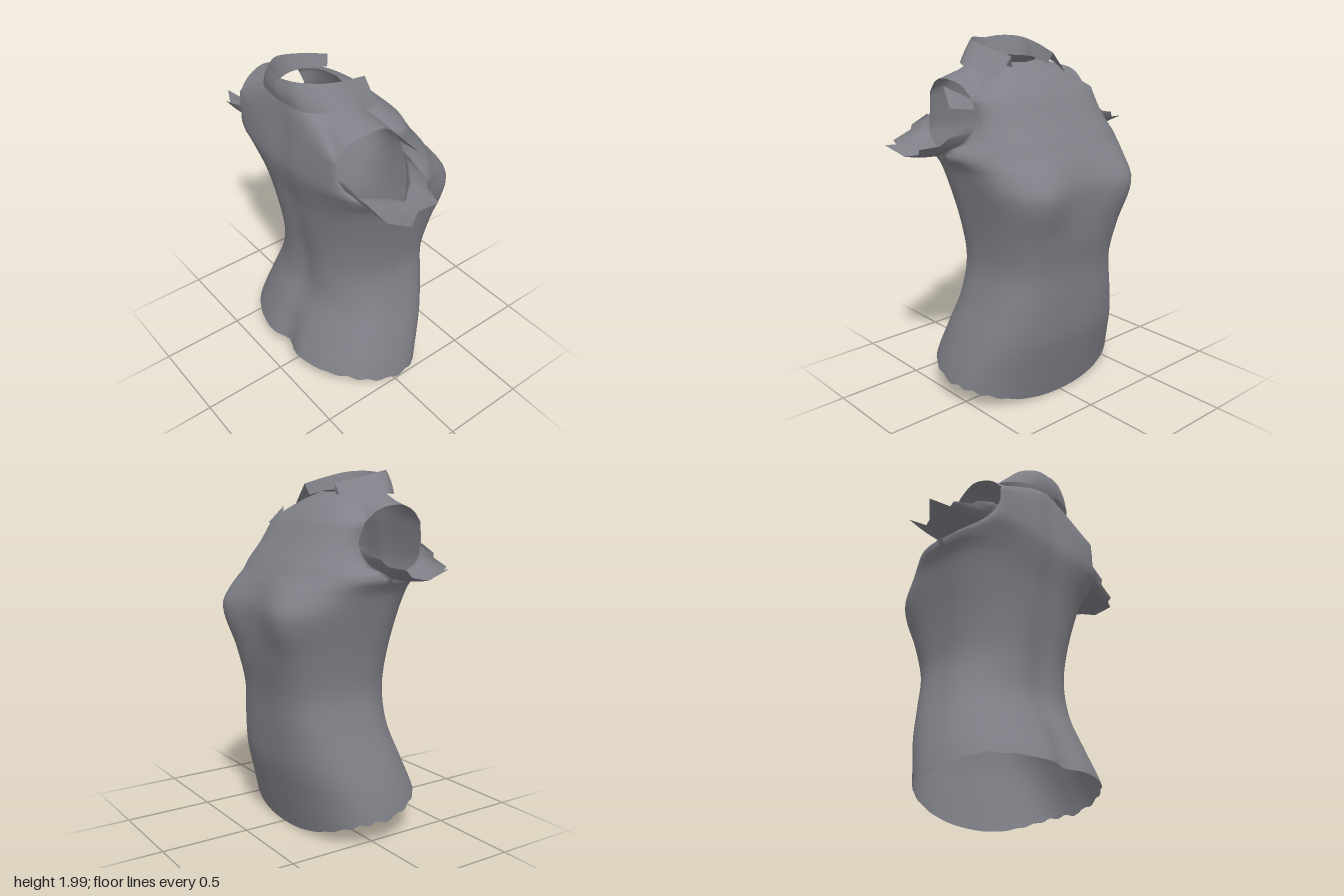
import * as THREE from 'three';
import { mergeGeometries, mergeVertices } from 'three/addons/utils/BufferGeometryUtils.js';

// Cross-sections: y, half width, chest z, chest edge z, back edge z, back z, chest roundness, back roundness
const SECTIONS = [
  [0.00, 0.59, -0.245, 0.05, 0.05, 0.50, 0.9, 0.85],
  [0.20, 0.56, -0.30, 0.04, 0.04, 0.47, 0.85, 0.86],
  [0.40, 0.505, -0.35, 0.02, 0.02, 0.39, 0.75, 0.88],
  [0.60, 0.44, -0.37, 0.00, 0.00, 0.315, 0.66, 0.9],
  [0.80, 0.40, -0.385, -0.02, -0.02, 0.305, 0.65, 0.9],
  [1.00, 0.42, -0.425, -0.01, -0.01, 0.32, 0.6, 0.88],
  [1.25, 0.475, -0.475, 0.03, 0.03, 0.36, 0.54, 0.85],
  [1.38, 0.515, -0.42, 0.05, 0.05, 0.395, 0.72, 0.82],
  [1.44, 0.56, -0.375, 0.06, 0.06, 0.41, 0.9, 0.8],
  [1.50, 0.48, -0.33, -0.02, 0.28, 0.42, 0.8, 0.8],
  [1.60, 0.42, -0.25, -0.045, 0.36, 0.415, 0.8, 0.8],
  [1.72, 0.41, -0.165, 0.00, 0.37, 0.40, 0.8, 0.8],
];
const ARMPIT = 1.44, CHEST_TOP = 1.72, HALF = Math.PI / 2;
const LIP_TOP = lerp(ARMPIT, CHEST_TOP, 0.6);
const V = (p) => new THREE.Vector3(...p);
const curve = (pts) => new THREE.CatmullRomCurve3(pts.map(V), false, 'centripetal');
const bell = (x, width) => Math.exp(-((x / width) ** 2));

function lerp(a, b, t) {
  return a + (b - a) * t;
}

// Smooth interpolation of the section table
function section(y) {
  let i = 0;
  while (i < SECTIONS.length - 2 && y > SECTIONS[i + 1][0]) i++;
  const a = SECTIONS[i], b = SECTIONS[i + 1];
  const p = SECTIONS[i - 1] || a, n = SECTIONS[i + 2] || b;
  const h = b[0] - a[0], t = (y - a[0]) / h, t2 = t * t, t3 = t2 * t;
  return a.map((v, k) => {
    const m0 = (b[k] - p[k]) / (b[0] - p[0]) * h, m1 = (n[k] - v) / (n[0] - a[0]) * h;
    return (2 * t3 - 3 * t2 + 1) * v + (t3 - 2 * t2 + t) * m0 + (3 * t2 - 2 * t3) * b[k] + (t3 - t2) * m1;
  });
}

// Body surface; phi runs from the +z centre (0) past the side to the -z centre (PI)
function bodyPoint(phi, y, chest = phi > HALF) {
  const [, w, zc, zsc, zsb, zb, pc, pb] = section(y);
  const c = Math.abs(Math.cos(phi)), s = Math.abs(Math.sin(phi)), p = chest ? pc : pb;
  const x = phi < 1e-6 || phi > Math.PI - 1e-6 ? 0 : w * s ** p;
  let z = chest ? lerp(zsc, zc, c ** p) : lerp(zsb, zb, c ** p);
  if (chest) z += bell(y - 1.25, 0.18) * (0.04 * bell(x, 0.16) - 0.015 * bell(x - 0.3, 0.09));
  else {
    z -= (0.01 + 0.04 * THREE.MathUtils.smoothstep(0.5 - y, 0, 0.35)) * bell(x, 0.08);
    z -= 0.02 * bell(x, 0.14) * bell(y - 0.75, 0.25);
  }
  return V([x, y, z]);
}

// Slightly torn hem, lower at the chest side
function hem(phi) {
  const c = Math.cos(phi);
  const base = c < 0 ? 0.14 - 0.13 * (-c) ** 2.4 : 0.14 + 0.07 * Math.min(1, c * 1.6);
  return base + 0.008 * Math.sin(phi * 23) * Math.sin(phi) ** 2;
}

// Grid surface on one side of the body (side 1 is +x, -1 its mirror image)
function patch(fn, nu, nv, side) {
  const pos = [], idx = [];
  for (let j = 0; j <= nv; j++) for (let i = 0; i <= nu; i++) {
    const p = fn(i / nu, j / nv);
    pos.push(side * p.x, p.y, p.z);
    if (i === nu || j === nv) continue;
    const a = j * (nu + 1) + i, b = a + 1, c = a + nu + 1, d = c + 1;
    if (side > 0) idx.push(a, b, d, a, d, c);
    else idx.push(a, d, b, a, c, d);
  }
  const g = new THREE.BufferGeometry();
  g.setAttribute('position', new THREE.Float32BufferAttribute(pos, 3));
  g.setIndex(idx);
  return g;
}
const mirroredPatch = (fn, nu, nv) => [patch(fn, nu, nv, 1), patch(fn, nu, nv, -1)];

function smoothMesh(name, patches, material) {
  const g = mergeVertices(mergeGeometries(patches.flat()), 1e-4);
  g.computeVertexNormals();
  const mesh = new THREE.Mesh(g, material);
  mesh.name = name;
  return mesh;
}

// Surface stretched between two curves
const between = (a, b) => (u, v) => a(u).lerp(b(u), v);

export function createModel() {
  const group = new THREE.Group();
  group.name = 'sleevelessTop';
  const cloth = new THREE.MeshStandardMaterial({ color: 0x808088, side: THREE.DoubleSide });
  cloth.name = 'grey cloth';

  // Torso below the armpits, then separate back and chest panels beside the armholes
  const lower = mirroredPatch((u, v) => {
    const phi = u * Math.PI;
    return bodyPoint(phi, lerp(hem(phi), ARMPIT, v));
  }, 56, 40);
  const backPanel = mirroredPatch((u, v) => bodyPoint(u * HALF, lerp(ARMPIT, CHEST_TOP, v), false), 28, 10);
  const chestPanel = mirroredPatch((u, v) => bodyPoint(HALF + u * HALF, lerp(ARMPIT, CHEST_TOP, v), true), 28, 10);

  // Shoulder yoke from the panel tops and armhole arch to the neckline
  const backEdge = bodyPoint(HALF, CHEST_TOP, false), chestEdge = bodyPoint(HALF, CHEST_TOP, true);
  const arch = curve([backEdge.toArray(), [0.42, 1.78, 0.31], [0.44, 1.81, 0.2], [0.42, 1.785, 0.08], chestEdge.toArray()]);
  const neck = curve([[0, 1.885, 0.37], [0.1, 1.885, 0.34], [0.155, 1.885, 0.25], [0.155, 1.885, 0.16], [0.1, 1.88, 0.08], [0, 1.875, 0.05]]);
  const yokeRim = (u) => {
    if (u <= 0.35) return bodyPoint(u / 0.35 * HALF, CHEST_TOP, false);
    if (u >= 0.65) return bodyPoint(HALF + (u - 0.65) / 0.35 * HALF, CHEST_TOP, true);
    return arch.getPoint((u - 0.35) / 0.3);
  };
  const yoke = mirroredPatch((u, v) => {
    const p = yokeRim(u).lerp(neck.getPoint(u), v);
    p.y += 0.022 * Math.sin(v * Math.PI) * Math.abs(2 * u - 1);
    return p;
  }, 80, 8);

  // Torn sleeve remnants flaring out under the armholes
  const armhole = (u) => bodyPoint(HALF, lerp(ARMPIT, LIP_TOP, Math.abs(u - 0.5) * 2), u > 0.5);
  const tornEdge = [
    [0.45, 1.605, 0.35], [0.56, 1.56, 0.34], [0.58, 1.54, 0.32], [0.7, 1.5, 0.305], [0.7, 1.48, 0.28], [0.8, 1.5, 0.23],
    [0.73, 1.44, 0.16], [0.69, 1.455, 0.09], [0.74, 1.5, 0.01], [0.63, 1.51, -0.02], [0.6, 1.545, -0.04], [0.52, 1.56, -0.05], [0.46, 1.6, -0.04],
  ].map(V);
  const torn = (u) => tornEdge[Math.round(u * 12)].clone();
  const sleeve = mirroredPatch((u, v) => {
    const p = between(armhole, torn)(u, v);
    p.y -= 0.008 * Math.sin(v * Math.PI);
    return p;
  }, 12, 6);
  group.add(smoothMesh('torso', [lower, backPanel, chestPanel, yoke, sleeve], cloth));

  // Torn flap left on one armhole edge
  const flapInner = (u) => bodyPoint(HALF, lerp(1.67, CHEST_TOP, u), true);
  const flapOuter = (u) => V([lerp(0.56, 0.53, u), lerp(1.69, 1.79, u), lerp(-0.01, 0.08, u)]);
  group.add(smoothMesh('armholeFlap', [patch(between(flapInner, flapOuter), 3, 4, 1)], cloth));

  // Folded collar, open at the chest
  const top = curve([[0, 1.985, 0.4], [0.1, 1.995, 0.375], [0.17, 1.99, 0.3], [0.185, 1.965, 0.18], [0.15, 1.92, -0.01]]);
  const fallEdge = curve([[0, 1.865, 0.405], [0.17, 1.865, 0.375], [0.275, 1.87, 0.27], [0.3, 1.855, 0.17], [0.25, 1.8, -0.01]]);
  const standEdge = curve([[0, 1.885, 0.37], [0.1, 1.885, 0.34], [0.155, 1.885, 0.25], [0.155, 1.885, 0.16], [0.13, 1.86, 0.01]]);
  const at = (c) => (u) => c.getPoint(u);
  const fall = mirroredPatch((u, v) => {
    const p = between(at(fallEdge), at(top))(u, v);
    p.z += 0.012 * Math.sin(v * Math.PI) * (1 - u);
    return p;
  }, 24, 6);
  const stand = mirroredPatch(between(at(top), at(standEdge)), 24, 4);
  group.add(smoothMesh('collarFall', [fall], cloth), smoothMesh('collarStand', [stand], cloth));

  return group;
}
